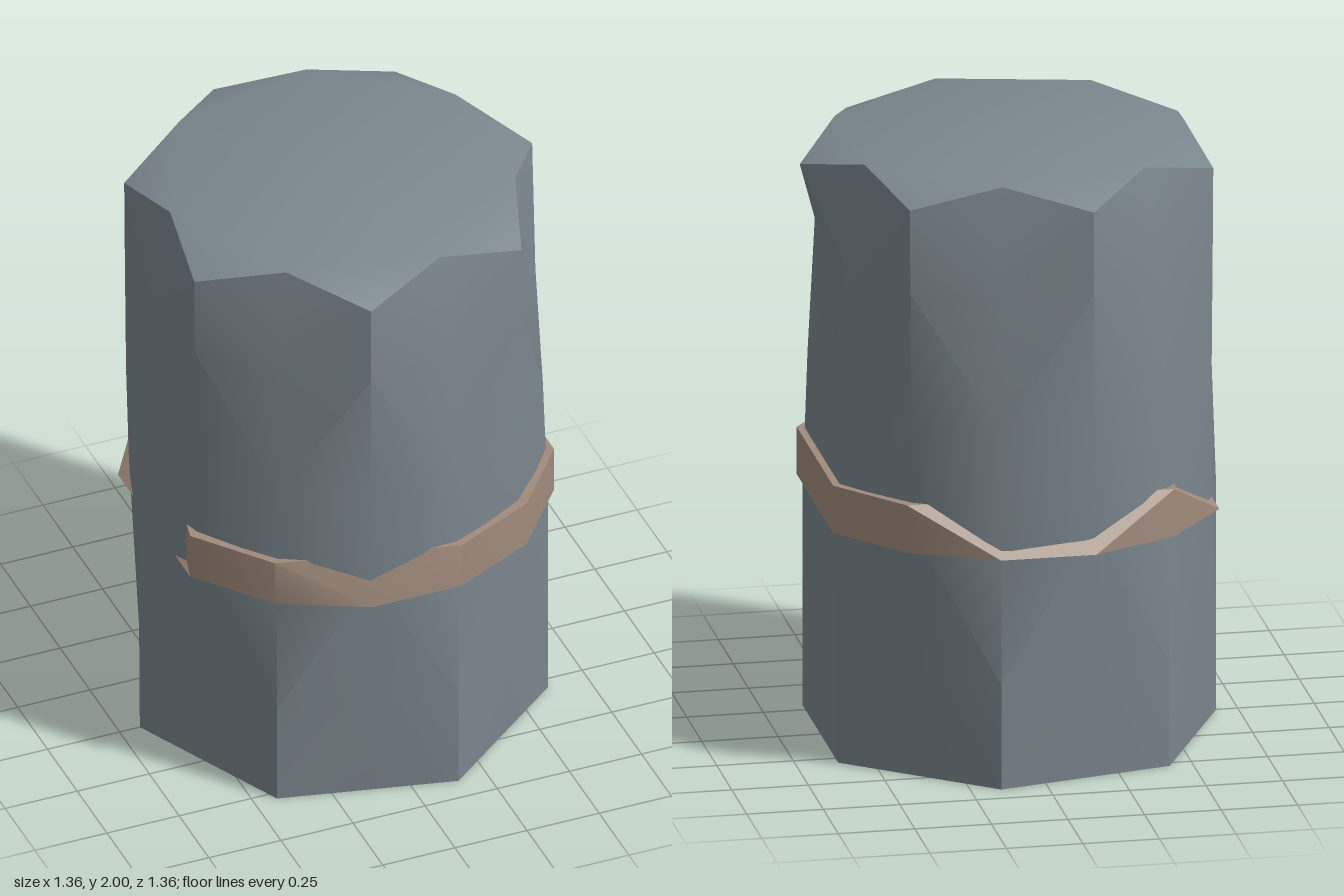
import * as THREE from 'three';
import { toCreasedNormals } from 'three/addons/utils/BufferGeometryUtils.js';

const SIDES = 14;
const STEP = (Math.PI * 2) / SIDES;

// point on a circle round the y axis
const polar = (i, r, y) => [r * Math.cos(i * STEP), y, r * Math.sin(i * STEP)];

// triangles given as lists of three points -> geometry with soft faces and sharp edges
function meshFrom(tris, material, name) {
  const kept = tris.filter(([a, b, c]) => a !== b && b !== c && a !== c);
  const g = new THREE.BufferGeometry();
  g.setAttribute('position', new THREE.Float32BufferAttribute(kept.flat(2), 3));
  const mesh = new THREE.Mesh(toCreasedNormals(g, 0.6), material);
  mesh.name = name;
  return mesh;
}

// Body: heptagon at the foot turning into an opposite heptagon at the head
function makeBody(material) {
  // [height of foot corners, radius, height of head corners, radius, radius of the dented side]
  const levels = [
    [0, 0.68, 0, 0.6127, 0.6127],
    [0.35, 0.68, 0.35, 0.633, 0.613],
    [0.75, 0.68, 0.85, 0.665, 0.61],
    [1.2, 0.664, 1.2, 0.674, 0.6],
    [1.65, 0.64, 1.65, 0.678, 0.578],
    [2, 0.575, 1.93, 0.68, 0.68],
  ];
  const rings = levels.map(([ya, ra, yb, rb, dent]) =>
    Array.from({ length: SIDES }, (_, i) =>
      i % 2 ? polar(i + 7, ra, ya) : polar(i + 7, i === 7 ? dent : rb, yb)));
  // corner columns: i odd after the half turn is a foot corner, so rebuild with foot corners even
  rings.forEach((ring, k) => {
    const [ya, ra, yb, rb, dent] = levels[k];
    for (let i = 0; i < SIDES; i++) {
      ring[i] = i % 2 ? polar(i + 7, i === 7 ? dent : rb, yb) : polar(i + 7, ra, ya);
    }
  });

  const tris = [];
  for (let k = 0; k < rings.length - 1; k++) {
    const lo = rings[k], up = rings[k + 1];
    for (let i = 0; i < SIDES; i++) {
      const j = (i + 1) % SIDES;
      if (i % 2) tris.push([lo[i], up[i], lo[j]], [up[i], up[j], lo[j]]);
      else tris.push([lo[i], up[i], up[j]], [lo[i], up[j], lo[j]]);
    }
  }
  // flat ends and the chipped corners round the head
  const head = rings[rings.length - 1], foot = rings[0];
  for (let i = 0; i < SIDES; i += 2) {
    const j = (i + 2) % SIDES;
    tris.push([[0, 2, 0], head[j], head[i]]);
    tris.push([head[i], head[j], head[i + 1]]);
    tris.push([[0, 0, 0], foot[i], foot[j]]);
  }
  return meshFrom(tris, material, 'body');
}

// Band: a flat collar, with some upper corners chipped away
function makeBand(material) {
  const corners = [1, 2, 3, 4, 5, 6, 8, 9, 10, 11, 12, 13];
  const chipped = { 4: 3, 8: 9, 10: 9, 11: 12 }; // chipped corner -> neighbour it collapses to
  const bottom = {}, top = {};
  corners.forEach((i) => {
    bottom[i] = polar(i, 0.7, 0.78);
    top[i] = polar(i, 0.7, 0.94);
  });
  Object.entries(chipped).forEach(([i, n]) => { top[i] = top[n]; });

  const tris = [];
  corners.forEach((i, k) => {
    const j = corners[(k + 1) % corners.length];
    tris.push([bottom[i], top[i], top[j]], [bottom[i], top[j], bottom[j]]);
    tris.push([[0, 0.94, 0], top[j], top[i]]);
    tris.push([[0, 0.78, 0], bottom[i], bottom[j]]);
  });
  return meshFrom(tris, material, 'band');
}

export function createModel() {
  const slate = new THREE.MeshStandardMaterial({ color: 0x7b878e });
  slate.name = 'slate grey';
  const tan = new THREE.MeshStandardMaterial({ color: 0xa08b7c });
  tan.name = 'dusty tan';

  const model = new THREE.Group();
  model.name = 'bandedPillar';
  model.add(makeBody(slate), makeBand(tan));
  return model;
}
